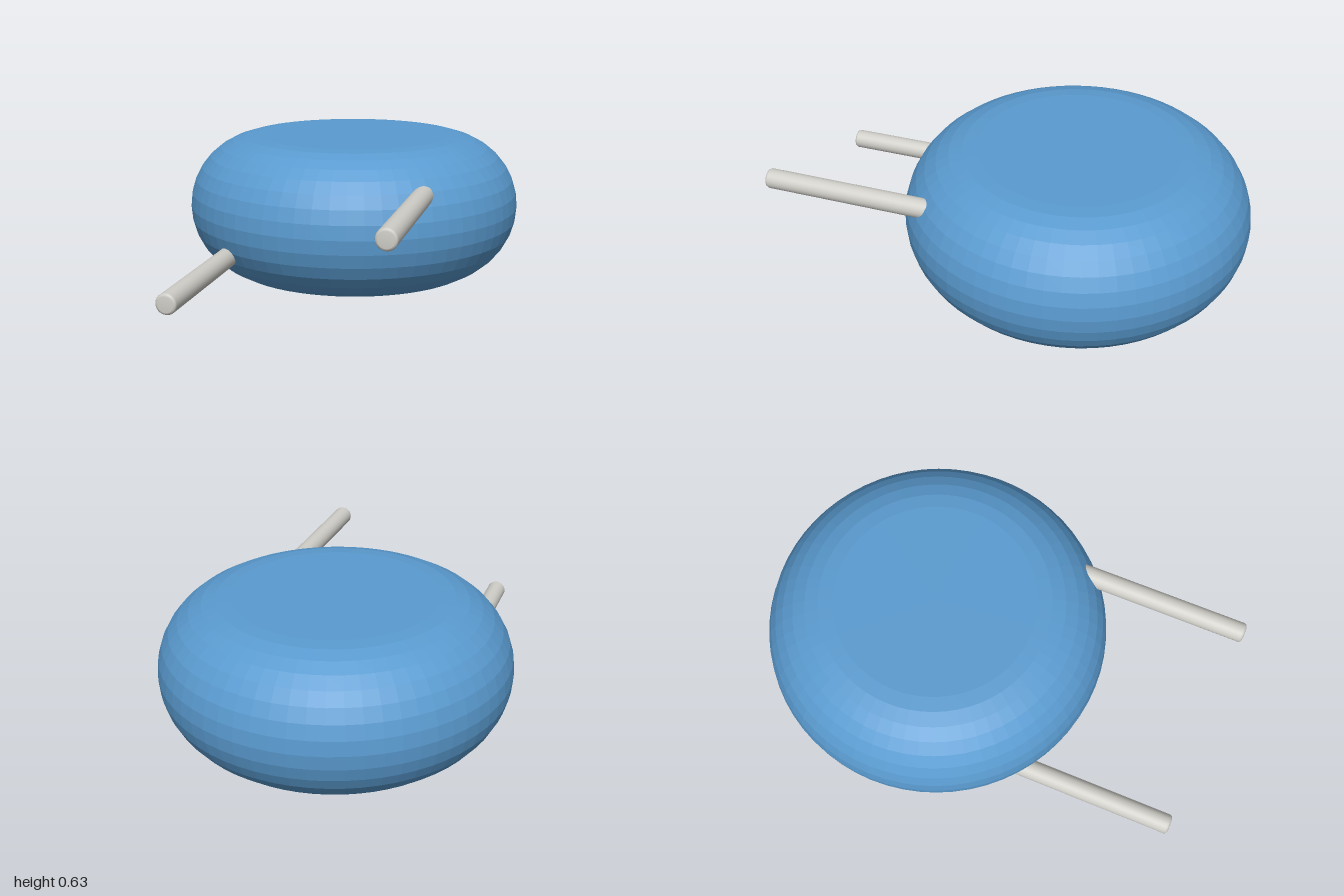
import * as THREE from 'three';

const BODY_Z = -0.255, BODY_R = 0.745, HALF = 0.315;
const LEAD_R = 0.043, BEVEL = 0.012;

// Disc with a fully rounded rim, turned around the y axis
function makeBody() {
  const points = [new THREE.Vector2(0, 0)];
  const steps = 16;
  for (let i = 0; i <= steps; i++) {
    const a = -Math.PI / 2 + (Math.PI * i) / steps;
    points.push(new THREE.Vector2(BODY_R - HALF + HALF * Math.cos(a), HALF + HALF * Math.sin(a)));
  }
  points.push(new THREE.Vector2(0, 2 * HALF));
  const material = new THREE.MeshStandardMaterial({ color: 0x5a9bd0, flatShading: true });
  const body = new THREE.Mesh(new THREE.LatheGeometry(points, 64), material);
  body.name = 'discBody';
  body.position.z = BODY_Z;
  return body;
}

// Straight wire with a softened tip, running from inside the body to z = 1
function makeLead(name, x, y, material) {
  const start = -0.1, end = 1;
  const profile = [
    [0, start], [LEAD_R, start], [LEAD_R, end - BEVEL],
    [LEAD_R - BEVEL * 0.3, end - BEVEL * 0.3], [LEAD_R - BEVEL, end], [0, end],
  ].map(([r, h]) => new THREE.Vector2(r, h));
  const geometry = new THREE.LatheGeometry(profile, 24);
  geometry.rotateX(Math.PI / 2);
  const lead = new THREE.Mesh(geometry, material);
  lead.name = name;
  lead.position.set(x, y, 0);
  return lead;
}

export function createModel() {
  const group = new THREE.Group();
  group.name = 'discComponent';
  const metal = new THREE.MeshStandardMaterial({ color: 0xcfcec8 });
  group.add(
    makeBody(),
    makeLead('leftLead', 0.415, 0.47, metal),
    makeLead('rightLead', -0.415, 0.17, metal),
  );
  return group;
}
